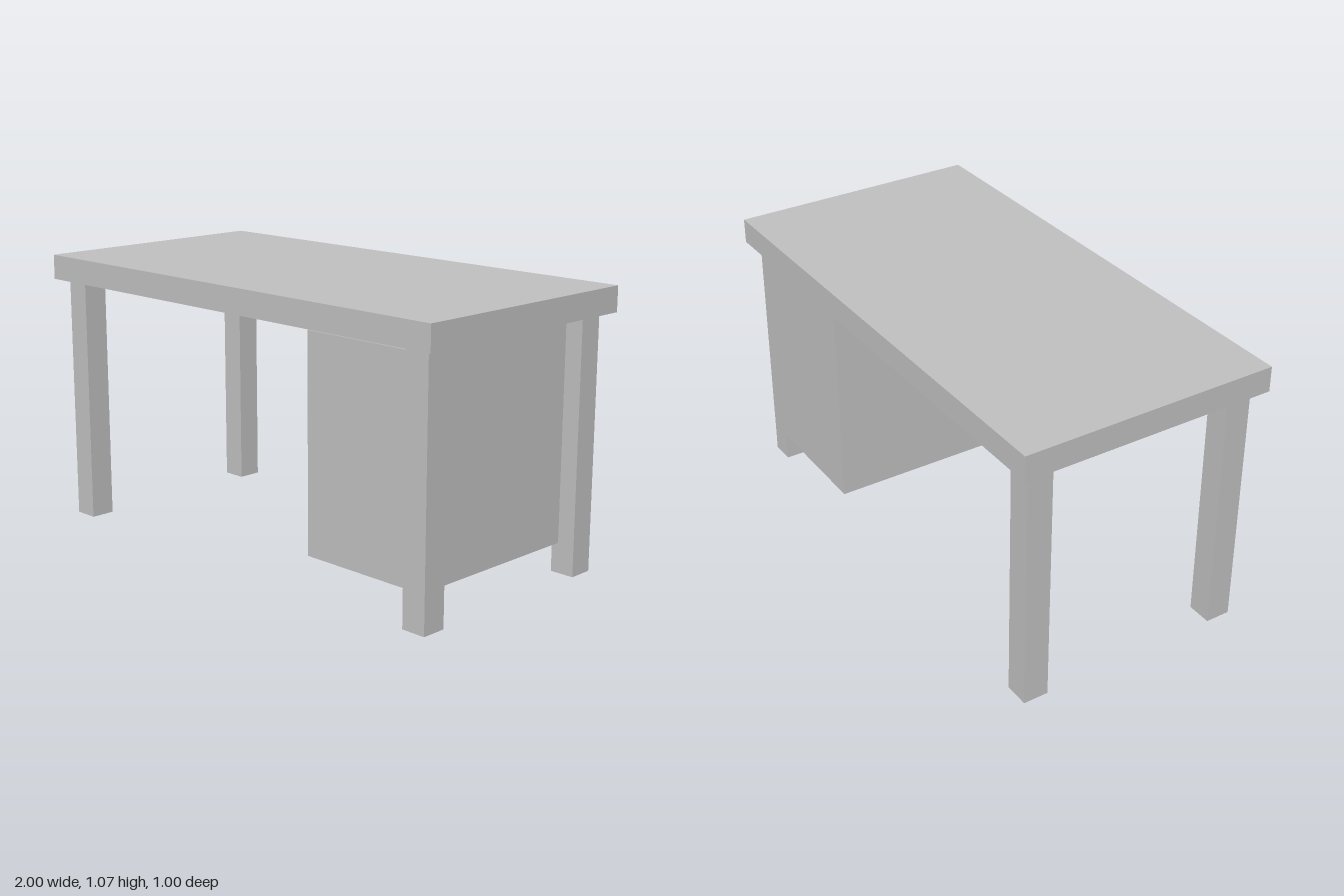
import * as THREE from 'three';

export function createModel() {
  const desk = new THREE.Group();
  desk.name = 'desk';

  const grey = new THREE.MeshStandardMaterial({ color: 0xbfbfbf });
  grey.name = 'light grey';

  // Box given by its lower and upper corners
  const addBox = (name, [x0, y0, z0], [x1, y1, z1]) => {
    const mesh = new THREE.Mesh(new THREE.BoxGeometry(x1 - x0, y1 - y0, z1 - z0), grey);
    mesh.position.set((x0 + x1) / 2, (y0 + y1) / 2, (z0 + z1) / 2);
    mesh.name = name;
    desk.add(mesh);
  };

  const topUnderside = 0.975;
  addBox('tabletop', [-1, topUnderside, -0.5], [1, 1.072, 0.5]);

  // Four square legs, set in slightly from the corners
  const legWidth = 0.098, legX = 0.906, legZ = 0.408, h = legWidth / 2;
  for (const [side, sx] of [['Left', 1], ['Right', -1]]) {
    for (const [end, sz] of [['front', 1], ['back', -1]]) {
      const x = sx * legX, z = sz * legZ;
      addBox(`${end}${side}Leg`, [x - h, 0, z - h], [x + h, topUnderside, z + h]);
    }
  }

  // Cabinet between the left legs, flush with the back of the rear leg
  addBox('cabinet', [0.34, 0.116, -legZ - h], [0.885, 0.943, 0.395]);

  return desk;
}
